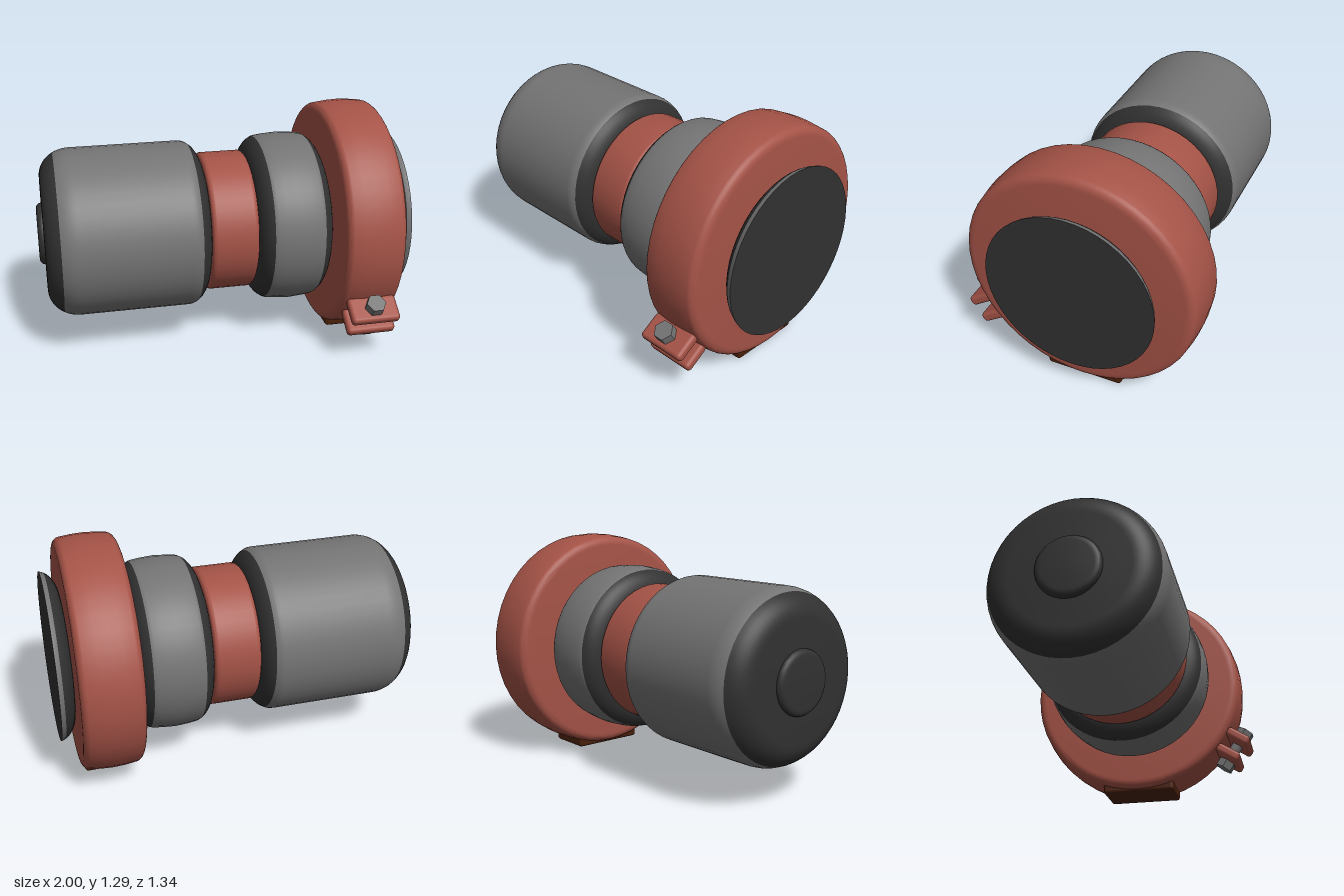
import * as THREE from 'three';
import { toCreasedNormals } from 'three/addons/utils/BufferGeometryUtils.js';
import { RoundedBoxGeometry } from 'three/addons/geometries/RoundedBoxGeometry.js';

const AXIS_Y = 0.65, AXIS_Z = -0.02;

// Points [x, radius] along an elliptical corner, angles in degrees
function arc(cx, r0, rx, ry, from, to, n = 8) {
  return Array.from({ length: n + 1 }, (_, i) => {
    const t = THREE.MathUtils.degToRad(from + (to - from) * i / n);
    return [cx + rx * Math.cos(t), r0 + ry * Math.sin(t)];
  });
}

export function createModel() {
  const model = new THREE.Group();
  const material = (name, color) => {
    const m = new THREE.MeshStandardMaterial({ color });
    m.name = name;
    return m;
  };
  const grey = material('grey metal', 0x747474);
  const dark = material('dark rubber', 0x313131);
  const red = material('red paint', 0xa55347);
  const brown = material('brown foot', 0x4a200a);

  const add = (parent, name, geometry, mat, x = 0, y = 0, z = 0) => {
    const mesh = new THREE.Mesh(geometry, mat);
    mesh.name = name;
    mesh.position.set(x, y, z);
    parent.add(mesh);
    return mesh;
  };

  // Solid of revolution about the long axis; profile runs from -x to +x
  const turned = (name, mat, profile) => {
    const points = profile.map(([x, r]) => new THREE.Vector2(r, x));
    const geo = new THREE.LatheGeometry(points, 48).rotateZ(-Math.PI / 2);
    return add(model, name, toCreasedNormals(geo, 0.6), mat, 0, AXIS_Y, AXIS_Z);
  };

  // Main barrel: grey wall between dark rounded ends
  turned('barrelBackEnd', dark, [[-0.97, 0], ...arc(-0.8, 0.315, 0.17, 0.15, 180, 122)]);
  turned('barrelWall', grey, [
    ...arc(-0.8, 0.315, 0.17, 0.15, 122, 90), ...arc(-0.2, 0.315, 0.115, 0.15, 90, 64)]);
  turned('barrelFrontEnd', dark, [...arc(-0.2, 0.315, 0.115, 0.15, 64, 0), [-0.085, 0]]);
  turned('endButton', dark, [[-1, 0], ...arc(-0.975, 0.135, 0.025, 0.035, 180, 90, 5), [-0.96, 0.17]]);

  // Red neck collar
  turned('neckCollar', red, [[-0.088, 0],
    ...arc(-0.063, 0.365, 0.025, 0.025, 180, 90, 5),
    ...arc(0.143, 0.365, 0.025, 0.025, 90, 0, 5), [0.168, 0]]);

  // Bulging middle section
  turned('middleBackEnd', dark, [[0.168, 0], ...arc(0.27, 0.33, 0.102, 0.14, 180, 110)]);
  turned('middleWall', grey, [...arc(0.27, 0.33, 0.102, 0.14, 110, 100, 2),
    [0.3, 0.474], [0.375, 0.479], [0.45, 0.474], ...arc(0.48, 0.33, 0.102, 0.14, 80, 70, 2)]);
  turned('middleFrontEnd', dark, [...arc(0.48, 0.33, 0.102, 0.14, 70, 0), [0.582, 0]]);

  // Large clamp ring with a slightly crowned rim
  turned('clampRing', red, [[0.582, 0],
    ...arc(0.622, 0.585, 0.04, 0.05, 180, 100, 6),
    [0.68, 0.642], [0.745, 0.645], [0.81, 0.642],
    ...arc(0.87, 0.585, 0.04, 0.05, 80, 0, 6), [0.91, 0]]);

  // Cut end piece beyond the ring
  turned('endPieceShoulder', dark, [[0.905, 0.33], ...arc(1.02, 0.33, 0.11, 0.135, 180, 114)]);
  turned('endPieceRim', grey, [...arc(1.02, 0.33, 0.11, 0.135, 114, 100.5, 3)]);
  turned('endFace', dark, [[1, 0.463], [1, 0]]);

  // Foot under the ring
  add(model, 'foot', new RoundedBoxGeometry(0.26, 0.11, 0.43, 2, 0.018), brown, 0.75, 0.055, -0.022);

  // Clamp lugs and bolt, tangent to the ring; local z points away from the axis
  const clamp = new THREE.Group();
  clamp.name = 'clampBolt';
  clamp.position.set(0.747, 0.258, 0.56);
  clamp.rotation.x = 0.58;
  model.add(clamp);
  const hex = () => toCreasedNormals(new THREE.CylinderGeometry(0.054, 0.054, 0.052, 6).rotateY(Math.PI / 6), 0.3);
  for (const side of [1, -1]) {
    add(clamp, side > 0 ? 'upperLug' : 'lowerLug',
      new RoundedBoxGeometry(0.27, 0.056, 0.15, 3, 0.02), red, 0, side * 0.058, 0);
    add(clamp, side > 0 ? 'boltHead' : 'boltNut', hex(), grey, 0, side * 0.11, 0);
  }
  add(clamp, 'boltShaft', new THREE.CylinderGeometry(0.034, 0.034, 0.2, 16), grey);

  return model;
}
